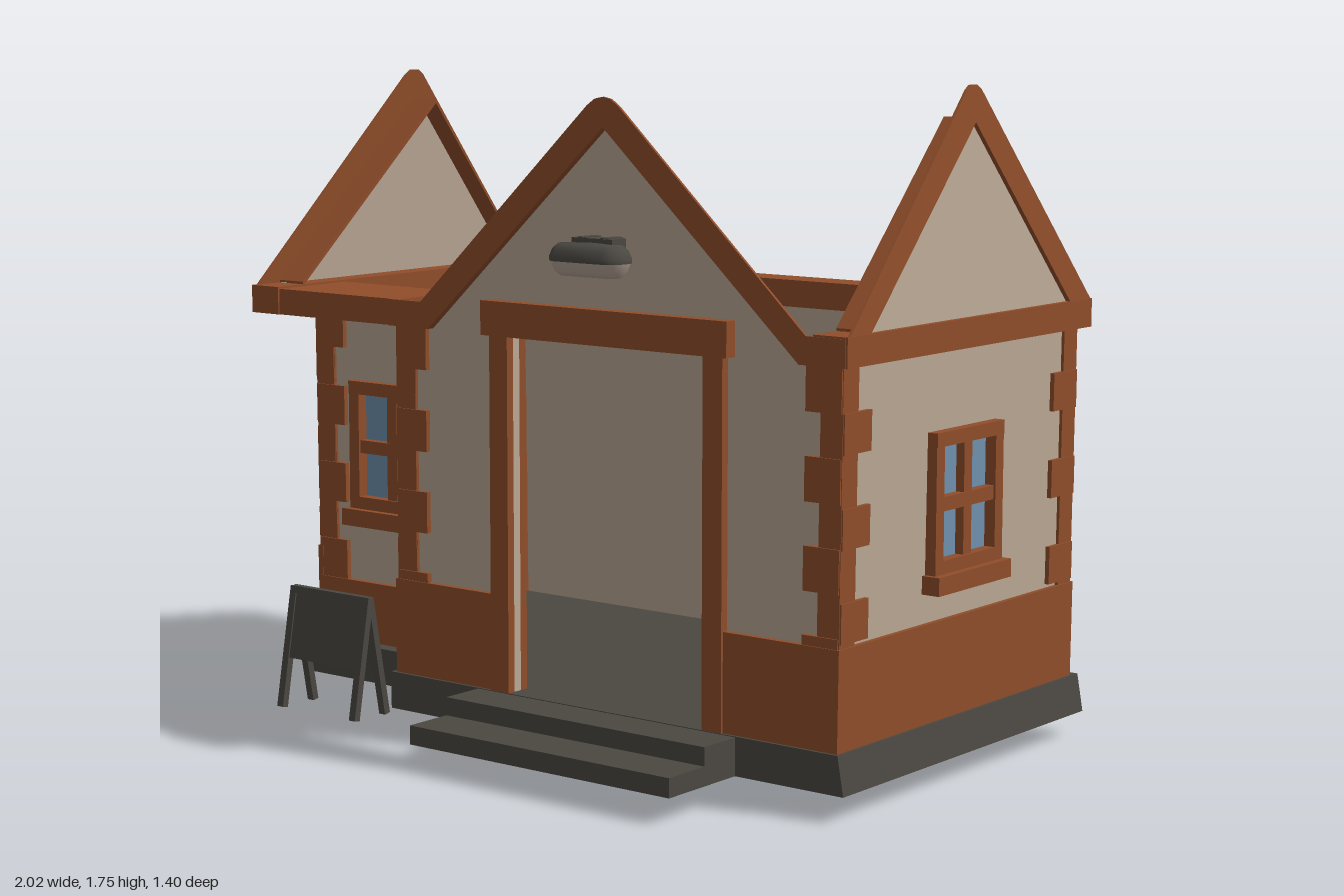
import * as THREE from 'three';

const mat = (name, color) => {
  const m = new THREE.MeshStandardMaterial({ color, side: THREE.DoubleSide });
  m.name = name;
  return m;
};

export function createModel() {
  const root = new THREE.Group();
  root.name = 'cottage';
  const brown = mat('brownTrim', 0x914e2b);
  const beige = mat('beigeWall', 0xbaa895);
  const dark = mat('darkStone', 0x4b4842);
  const blue = mat('blueGlass', 0x6f92ae);
  const pale = mat('paleLens', 0xb9a79a);

  // The outer ends lean: out towards the eaves, then in towards the gable tips
  const lean = (y) => y < 0.1 ? 1.008 : y < 1.1 ? 0.99 + 0.01 * (y - 0.165) / 0.935
    : y < 1.18 ? 1 : 1 - 0.045 * (y - 1.18) / 0.57;

  function add(name, geo, material, parent = root, warp = true) {
    const p = geo.attributes.position;
    if (warp) {
      for (let i = 0; i < p.count; i++) {
        if (Math.abs(p.getX(i)) > 0.82) p.setX(i, p.getX(i) * lean(p.getY(i)));
      }
      geo.computeVertexNormals();
    }
    const mesh = new THREE.Mesh(geo, material);
    mesh.name = name;
    parent.add(mesh);
    return mesh;
  }
  // Box given by its limits on each axis
  function box(name, x0, x1, y0, y1, z0, z1, material, parent, warp) {
    const g = new THREE.BoxGeometry(x1 - x0, y1 - y0, z1 - z0);
    g.translate((x0 + x1) / 2, (y0 + y1) / 2, (z0 + z1) / 2);
    return add(name, g, material, parent, warp);
  }
  const outline = (pts) => pts.map(([x, y]) => new THREE.Vector2(x, y));
  function extrude(pts, depth, hole) {
    const s = new THREE.Shape(outline(pts));
    if (hole) s.holes.push(new THREE.Path(outline(hole)));
    return new THREE.ExtrudeGeometry(s, { depth, bevelEnabled: false });
  }
  // Panel facing front, from (x, y) points
  const frontPanel = (name, pts, z0, z1, m, hole) =>
    add(name, extrude(pts, z1 - z0, hole).translate(0, 0, z0), m);
  // Panel facing sideways, from (-z, y) points
  const sidePanel = (name, pts, x0, x1, m, hole) =>
    add(name, extrude(pts, x1 - x0, hole).rotateY(Math.PI / 2).translate(x0, 0, 0), m);
  const rect = (a, b, c, d) => [[a, c], [b, c], [b, d], [a, d]];
  // Thin sheet following a line
  const sheet = (line) => [...line, ...line.map(([x, y]) => [x, y + 0.012]).reverse()];

  // Stone base with a notch beside the bay, and two entrance steps
  const base = extrude([[-0.985, 0.69], [0.985, 0.69], [0.985, -0.435], [-0.48, -0.435],
    [-0.48, -0.25], [-0.985, -0.25]], 0.1);
  add('stoneBase', base.rotateX(-Math.PI / 2).translate(0, 0.065, 0), dark);
  box('upperStep', -0.17, 0.67, 0.065, 0.163, 0.4, 0.56, dark);
  box('lowerStep', -0.17, 0.67, 0.065, 0.115, 0.5, 0.7, dark);

  // Walls
  frontPanel('frontWall', [[-0.46, 0.165], [-0.065, 0.165], [-0.065, 1.1], [0.565, 1.1],
    [0.565, 0.165], [0.965, 0.165], [0.965, 1.11], [0.855, 1.11], [0.25, 1.65],
    [-0.345, 1.11], [-0.46, 1.11]], 0.385, 0.41, beige);
  frontPanel('bayWall', rect(-0.965, -0.44, 0.165, 1.12), 0.165, 0.19, beige,
    rect(-0.81, -0.55, 0.565, 0.875));
  box('bayReturnWall', -0.455, -0.43, 0.165, 1.12, 0.17, 0.4, beige);
  box('backWall', -0.965, 0.965, 0.165, 1.12, -0.65, -0.625, beige);
  sidePanel('leftWall', rect(-0.4, 0.64, 0.165, 1.12), 0.94, 0.965, beige,
    rect(-0.013, 0.247, 0.565, 0.875));
  sidePanel('rightWall', rect(-0.18, 0.64, 0.165, 1.12), -0.965, -0.94, beige,
    rect(0.09, 0.35, 0.565, 0.875));

  // Brown skirting around the outside
  for (const [x0, x1, y1, z0, z1] of [
    [-0.465, -0.12, 0.42, 0.405, 0.427], [0.62, 0.977, 0.42, 0.405, 0.427],
    [0.96, 0.978, 0.42, -0.66, 0.427], [-0.978, -0.96, 0.42, -0.66, 0.205],
    [-0.978, 0.978, 0.42, -0.662, -0.645], [-0.97, -0.455, 0.335, 0.185, 0.207],
    [-0.467, -0.45, 0.42, 0.19, 0.427]]) {
    box('skirting', x0, x1, 0.165, y1, z0, z1, brown);
  }

  // Corner posts with alternating blocks; sx, sz point outwards
  function corner(x, z, sx, sz, blocksAlongX) {
    const g = new THREE.Group();
    g.name = 'cornerStones';
    root.add(g);
    const span = (a, s, w) => s > 0 ? [a - w, a] : [a, a + w];
    box('cornerPost', ...span(x, sx, 0.065), 0.166, 1.1, ...span(z, sz, 0.065), brown, g);
    for (let i = 0; i < 3; i++) {
      const y = 0.43 + i * 0.23;
      box('sideBlock', ...span(x + sx * 0.004, sx, 0.07), y, y + 0.1,
        ...span(z - sz * 0.002, sz, 0.115), brown, g);
    }
    if (!blocksAlongX) return;
    for (let i = 0; i < 4; i++) {
      const y = 0.335 + i * 0.218;
      box('frontBlock', ...span(x - sx * 0.002, sx, 0.105), y, y + 0.11,
        ...span(z + sz * 0.004, sz, 0.07), brown, g);
    }
  }
  corner(0.973, 0.42, 1, 1, true);
  corner(-0.973, 0.2, -1, 1, true);
  corner(-0.462, 0.42, -1, 1, true);
  corner(0.973, -0.657, 1, -1, false);
  corner(-0.973, -0.657, -1, -1, false);

  // Eaves, with a flat soffit over the recessed bay
  box('backEave', -0.99, 0.99, 1.1, 1.175, -0.7, -0.6, brown);
  box('baySoffit', -0.99, -0.45, 1.1, 1.17, 0.17, 0.425, brown);
  for (const s of [-1, 1]) {
    const lim = (a, b) => s > 0 ? [a, b] : [-b, -a];
    box('sideEave', ...lim(0.89, 0.99), 1.1, 1.175, -0.699, 0.43, brown);
    // Side gables: infill, face board and the sheet under the roof line
    sidePanel('sideGable', [[-0.34, 1.17], [0.6, 1.17], [0.18, 1.66]], ...lim(0.955, 0.975), beige);
    sidePanel('sideGableBoard', [[-0.42, 1.17], [0.145, 1.735], [0.165, 1.748], [0.195, 1.748],
      [0.215, 1.735], [0.7, 1.17], [0.597, 1.17], [0.18, 1.655], [-0.333, 1.17]],
      ...lim(0.98, 0.988), brown);
    sidePanel('sideGableSheet', sheet([[-0.333, 1.17], [0.18, 1.655], [0.597, 1.17]]),
      ...lim(0.89, 0.982), brown);
  }

  // Front gable
  frontPanel('frontGableBoard', [[-0.48, 1.1], [-0.34, 1.1], [0.25, 1.645], [0.85, 1.1],
    [0.985, 1.1], [0.985, 1.17], [0.87, 1.17], [0.3, 1.698], [0.275, 1.715], [0.25, 1.72],
    [0.225, 1.715], [0.2, 1.698], [-0.365, 1.17], [-0.48, 1.17]], 0.424, 0.432, brown);
  frontPanel('frontGableSheet', sheet([[-0.46, 1.1], [-0.34, 1.1], [0.25, 1.645], [0.85, 1.1],
    [0.97, 1.1]]), 0.335, 0.428, brown);

  // Door frame
  box('doorJamb', -0.125, -0.065, 0.165, 1.1, 0.36, 0.434, brown);
  box('doorJamb', 0.565, 0.625, 0.165, 1.1, 0.36, 0.434, brown);
  box('doorLintel', -0.145, 0.645, 1.1, 1.19, 0.35, 0.445, brown);

  // Windows, built facing front and then turned
  function windowUnit(x, z, turn, lined) {
    const g = new THREE.Group();
    g.name = 'window';
    g.position.set(x, 0, z);
    g.rotation.y = turn;
    root.add(g);
    const part = (name, x0, x1, y0, y1, z0, z1, m) => box(name, x0, x1, y0, y1, z0, z1, m, g, false);
    part('glass', -0.14, 0.14, 0.555, 0.885, -0.012, -0.006, blue);
    for (const s of [-1, 1]) {
      part('windowStile', s * 0.137 - 0.018, s * 0.137 + 0.018, 0.54, 0.9, -0.01, 0.025, brown);
      if (lined) part('innerLining', s * 0.14 - 0.012, s * 0.14 + 0.012, 0.55, 0.89, -0.07, -0.02, beige);
    }
    if (lined) part('innerLining', -0.152, 0.152, 0.866, 0.89, -0.07, -0.02, beige);
    part('windowHead', -0.155, 0.155, 0.865, 0.901, -0.01, 0.027, brown);
    part('windowFoot', -0.155, 0.155, 0.54, 0.577, -0.01, 0.025, brown);
    part('mullion', -0.018, 0.018, 0.56, 0.88, -0.01, 0.018, brown);
    part('crossBar', -0.13, 0.13, 0.7, 0.736, -0.01, 0.019, brown);
    part('windowSill', -0.168, 0.168, 0.496, 0.543, -0.01, 0.045, brown);
  }
  windowUnit(-0.68, 0.19, 0, false);
  windowUnit(0.965, -0.117, Math.PI / 2, true);
  windowUnit(-0.965, -0.22, -Math.PI / 2, true);

  // Glass display case behind the bay window
  box('displayCase', -0.84, -0.505, 0.55, 0.89, -0.04, 0.165, blue, root, false);

  // Oval lamp over the door: half rounds stretched along x
  function oval(name, profile, m) {
    const g = new THREE.LatheGeometry(outline(profile), 32);
    const p = g.attributes.position;
    for (let i = 0; i < p.count; i++) {
      const x = p.getX(i);
      if (Math.abs(x) > 1e-4) p.setX(i, x + Math.sign(x) * 0.065);
    }
    g.translate(0.25, 0, 0.48);
    add(name, g, m, root, false);
  }
  oval('lampShade', [[0.052, 1.315], [0.053, 1.325], [0.045, 1.345], [0.03, 1.358], [0, 1.362]], dark);
  oval('lampLens', [[0, 1.276], [0.025, 1.278], [0.04, 1.29], [0.05, 1.316]], pale);
  box('lampMount', 0.185, 0.315, 1.345, 1.372, 0.42, 0.475, dark);
  for (const x of [0.215, 0.285]) box('lampArm', x - 0.012, x + 0.012, 1.355, 1.374, 0.41, 0.47, dark);

  // Folding board standing in the notch
  const board = new THREE.Group();
  board.name = 'foldingBoard';
  board.position.set(-0.768, 0.335, 0.363);
  root.add(board);
  for (const s of [-1, 1]) {
    const leaf = new THREE.Group();
    leaf.name = 'boardLeaf';
    leaf.rotation.x = -s * 0.18;
    board.add(leaf);
    box('boardPanel', -0.14, 0.14, -0.2, 0, -0.006, 0.006, dark, leaf, false);
    for (const x of [-0.137, 0.137]) {
      box('boardLeg', x - 0.011, x + 0.011, -0.338, 0, -0.01, 0.01, dark, leaf, false);
    }
    box('boardRail', -0.147, 0.147, -0.02, 0, -0.01, 0.01, dark, leaf, false);
  }
  return root;
}
